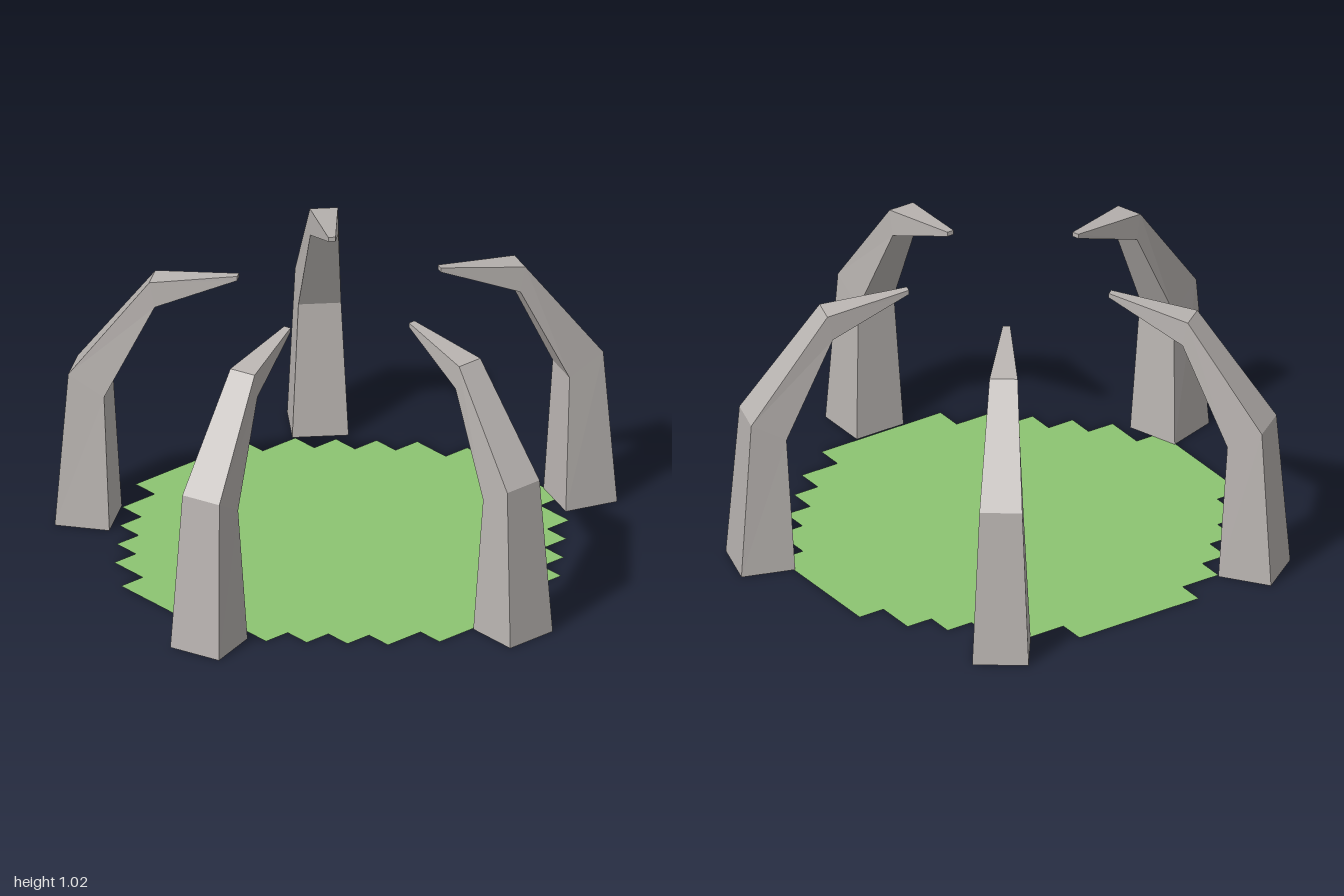
import * as THREE from 'three';

const CENTRE_Z = -0.07;

// Cross-sections of a claw, foot to tip: [half width, outer radius, outer y, inner radius, inner y]
const SECTIONS = [
  [0.1, 1.018, 0, 0.82, 0],
  [0.076, 0.975, 0.592, 0.845, 0.515],
  [0.05, 0.687, 0.975, 0.667, 0.88],
  [0.013, 0.376, 1.017, 0.376, 1.0],
];

// Four-sided tapering horn, open at the foot and closed at the tip
function clawGeometry() {
  const rings = SECTIONS.map(([w, ro, yo, ri, yi]) => [
    [-w, yo, ro], [w, yo, ro], [w, yi, ri], [-w, yi, ri],
  ]);
  const positions = [];
  const quad = (a, b, c, d) => positions.push(...a, ...b, ...c, ...a, ...c, ...d);
  for (let i = 0; i < rings.length - 1; i++) {
    for (let k = 0; k < 4; k++) {
      const n = (k + 1) % 4;
      quad(rings[i][k], rings[i][n], rings[i + 1][n], rings[i + 1][k]);
    }
  }
  quad(...rings[rings.length - 1]);
  const geometry = new THREE.BufferGeometry();
  geometry.setAttribute('position', new THREE.Float32BufferAttribute(positions, 3));
  geometry.computeVertexNormals();
  return geometry;
}

// Flat disc with a stepped edge; steps are [half width, half depth] in cells
function groundGeometry() {
  const cell = 0.1019;
  const steps = [[8, 2.5], [7, 4], [6, 5], [5, 6], [4, 7], [2.5, 8]];
  const quarter = [];
  steps.forEach(([x, y], i) => {
    quarter.push([x, i ? steps[i - 1][1] : 0], [x, y]);
  });
  quarter.shift();
  const flipped = [...quarter].reverse();
  const outline = [
    ...quarter,
    ...flipped.map(([x, y]) => [-x, y]),
    ...quarter.map(([x, y]) => [-x, -y]),
    ...flipped.map(([x, y]) => [x, -y]),
  ];
  const shape = new THREE.Shape(outline.map(([x, y]) => new THREE.Vector2(x * cell, y * cell)));
  return new THREE.ShapeGeometry(shape).rotateX(-Math.PI / 2);
}

export function createModel() {
  const model = new THREE.Group();
  model.name = 'clawCircle';

  const stone = new THREE.MeshStandardMaterial({ color: 0xb9b4b1, flatShading: true, side: THREE.DoubleSide });
  stone.name = 'stone grey';
  const grass = new THREE.MeshStandardMaterial({ color: 0x8cc472, side: THREE.DoubleSide });
  grass.name = 'grass green';

  const ground = new THREE.Mesh(groundGeometry(), grass);
  ground.name = 'ground';
  ground.position.z = CENTRE_Z;
  model.add(ground);

  // Five claws evenly spaced around the ground, bending inward
  const geometry = clawGeometry();
  for (let i = 0; i < 5; i++) {
    const claw = new THREE.Mesh(geometry, stone);
    claw.name = `claw${i + 1}`;
    claw.position.z = CENTRE_Z;
    claw.rotation.y = (i * Math.PI * 2) / 5;
    model.add(claw);
  }
  return model;
}
